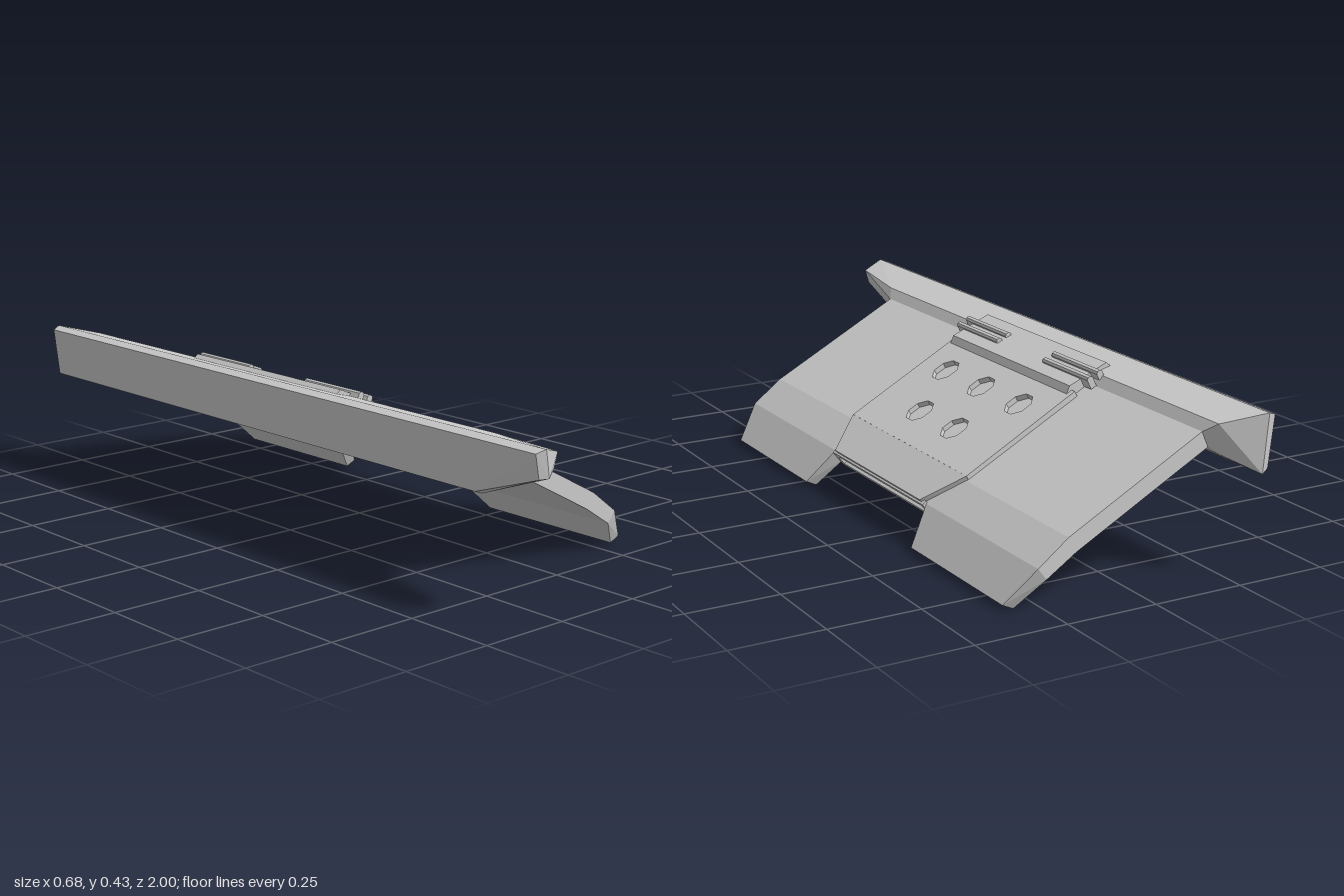
import * as THREE from 'three';
import { ConvexGeometry } from 'three/addons/geometries/ConvexGeometry.js';

const material = new THREE.MeshStandardMaterial({ color: 0xcccccc, flatShading: true });

export function createModel() {
  const model = new THREE.Group();
  const add = (name, geometry, parent = model) => {
    const mesh = new THREE.Mesh(geometry, material);
    mesh.name = name;
    parent.add(mesh);
    return mesh;
  };
  const hull = (points) => new ConvexGeometry(points.map((p) => new THREE.Vector3(...p)));
  const outline = (points) => new THREE.Shape(points.map((p) => new THREE.Vector2(...p)));
  // Extrude an x/y profile between two z positions
  const extrudeZ = (points, z0, z1) =>
    new THREE.ExtrudeGeometry(outline(points), { depth: z1 - z0, bevelEnabled: false }).translate(0, 0, z0);
  // Matrix of a tilted frame: x runs down the slope, y along -z, z is the outward normal
  const slopeFrame = (x, y, dx, dy) => {
    const u = new THREE.Vector3(dx, dy, 0).normalize();
    const n = new THREE.Vector3(-u.y, u.x, 0);
    return new THREE.Matrix4().makeBasis(u, new THREE.Vector3(0, 0, -1), n).setPosition(x, y, 0);
  };

  // Sloping slab with a bend near its lower edge
  add('slab', extrudeZ([
    [-0.2, 0.379], [0.186, 0.172], [0.27, 0.108], [0.246, 0.077], [0.162, 0.132], [-0.212, 0.333],
  ], -0.9, 0.7));

  // Two lower flaps with chamfered sides
  for (const [name, z0, z1] of [['backFlap', -0.9, -0.36], ['frontFlap', 0.16, 0.7]]) {
    const c = 0.045;
    add(name, hull([
      [0.27, 0.108, z0], [0.27, 0.108, z1], [0.246, 0.077, z0], [0.246, 0.077, z1],
      [0.34, 0.015, z0 + c], [0.34, 0.015, z1 - c], [0.31, 0.001, z0 + c], [0.31, 0.001, z1 - c],
    ]));
  }

  // Upper rail: section corner x, y, back z, z where the front taper starts, then front corner x, y, z
  const rail = [
    [-0.342, 0.421, -0.99, 0.78, -0.342, 0.421, 0.99],
    [-0.317, 0.430, -1.00, 0.78, -0.317, 0.430, 1.00],
    [-0.212, 0.402, -0.94, 0.73, -0.247, 0.408, 0.97],
    [-0.193, 0.375, -0.90, 0.70, -0.250, 0.395, 0.97],
    [-0.212, 0.333, -0.90, 0.70, -0.258, 0.368, 0.97],
    [-0.229, 0.318, -0.92, 0.73, -0.258, 0.368, 0.97],
    [-0.303, 0.277, -1.00, 0.78, -0.305, 0.358, 1.00],
    [-0.326, 0.286, -0.99, 0.78, -0.329, 0.357, 0.99],
  ];
  add('upperRail', hull(rail.flatMap(([x, y, back, start, fx, fy, front]) =>
    [[x, y, back], [x, y, start], [fx, fy, front]])));

  // Centre panel with five octagonal recesses
  const panel = new THREE.Group();
  panel.name = 'centrePanel';
  model.add(panel);
  const cos = 0.877;
  const length = 0.326 / cos;
  const sheet = outline([[0, -0.215], [length, -0.215], [length, 0.42], [0, 0.42]]);
  for (const [x, z] of [[-0.045, -0.295], [-0.045, -0.1], [-0.045, 0.095], [0.09, -0.19], [0.09, 0]]) {
    const u = (x + 0.14) / cos;
    const ring = [];
    for (let i = 0; i < 8; i++) {
      const a = ((i + 0.5) * Math.PI) / 4;
      ring.push(new THREE.Vector2(u + 0.042 * Math.cos(a), -z + 0.042 * Math.sin(a)));
    }
    sheet.holes.push(new THREE.Path(ring));
  }
  add('panelSheet', new THREE.ExtrudeGeometry(sheet, { depth: 0.016, bevelEnabled: false })
    .translate(0, 0, -0.016).applyMatrix4(slopeFrame(-0.14, 0.365, 0.326, -0.179)), panel);

  // Tapered lower end of the panel
  add('panelTaper', hull([
    [0.186, 0.186, -0.42], [0.186, 0.186, 0.215], [0.178, 0.17, -0.42], [0.178, 0.17, 0.215],
    [0.281, 0.116, -0.345], [0.281, 0.116, 0.14], [0.27, 0.1, -0.345], [0.27, 0.1, 0.14],
  ]), panel);

  // Open frame on the end face of the slab
  const frame = outline([[0, -0.155], [0.052, -0.155], [0.052, 0.36], [0, 0.36]]);
  frame.holes.push(new THREE.Path([[0.012, -0.135], [0.04, -0.135], [0.04, 0.34], [0.012, 0.34]]
    .map((p) => new THREE.Vector2(...p))));
  add('endFrame', new THREE.ExtrudeGeometry(frame, { depth: 0.014, bevelEnabled: false })
    .applyMatrix4(slopeFrame(0.27, 0.115, -0.032, -0.041)), panel);

  // Cover plate bridging the panel and the rail
  add('coverPlate', extrudeZ([
    [-0.262, 0.413], [-0.247, 0.425], [-0.133, 0.377], [-0.124, 0.356], [-0.14, 0.34], [-0.215, 0.385],
  ], -0.405, 0.205), panel);

  // Paired hinge bars with chamfered tops
  for (const [name, z] of [['backHinge', -0.33], ['frontHinge', 0.128]]) {
    const hinge = new THREE.Group();
    hinge.name = name;
    model.add(hinge);
    for (const [x, y, h] of [[-0.205, 0.406, 0.024], [-0.178, 0.389, 0.034]]) {
      const w = 0.009;
      const bar = add('hingeBar', extrudeZ([
        [-w, -h / 2], [w, -h / 2], [w, h / 2 - 0.006], [w / 2, h / 2], [-w / 2, h / 2], [-w, h / 2 - 0.006],
      ], -0.11, 0.11), hinge);
      bar.position.set(x, y, z);
      bar.rotation.z = -0.45;
    }
  }
  return model;
}
